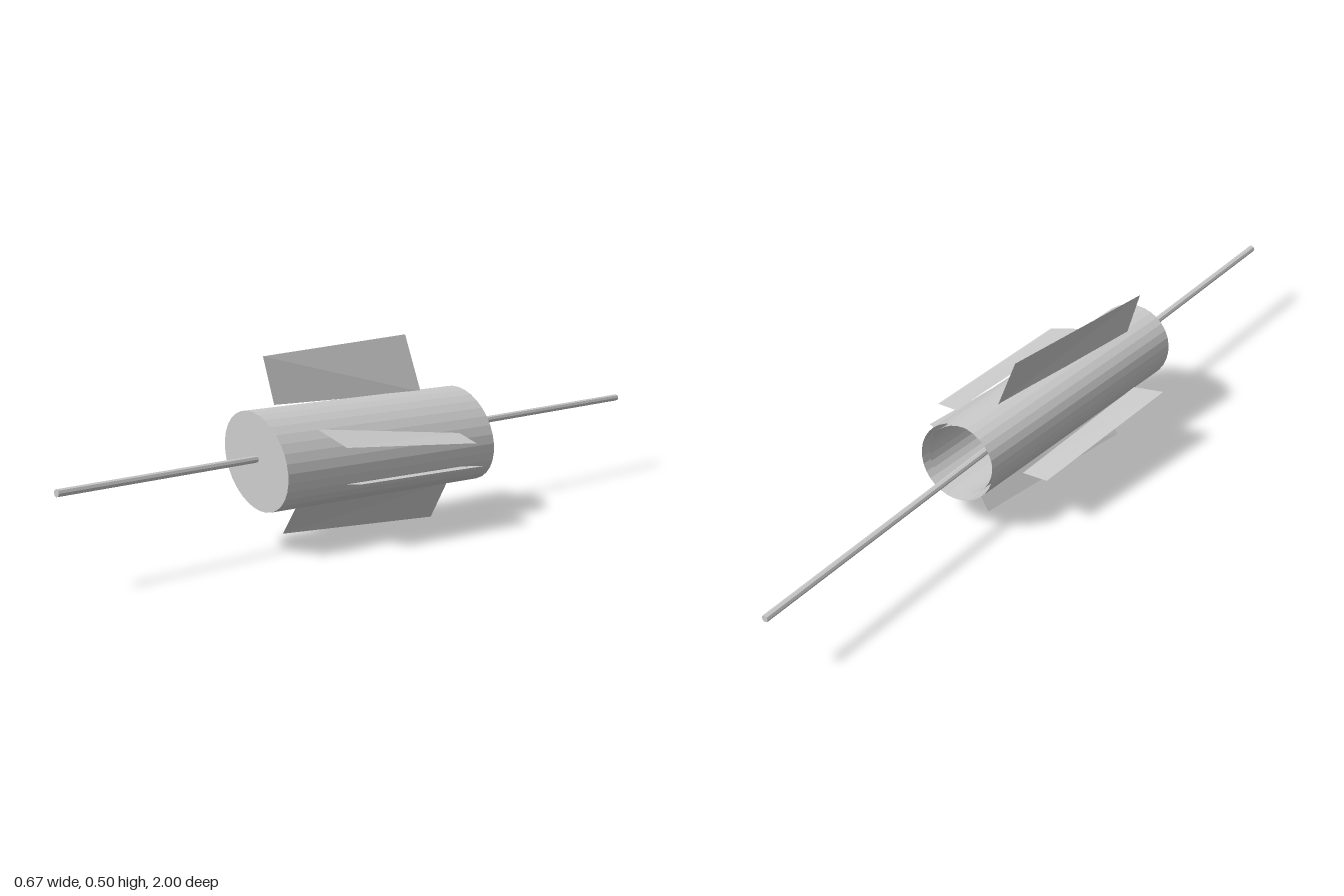
import * as THREE from 'three';

const material = new THREE.MeshStandardMaterial({ color: 0xcccccc, flatShading: true, side: THREE.DoubleSide });

// Group whose local z runs from the back point to the front point
function along(front, back, name) {
  const f = new THREE.Vector3(...front), b = new THREE.Vector3(...back);
  const group = new THREE.Group();
  group.name = name;
  group.position.copy(f).add(b).multiplyScalar(0.5);
  group.lookAt(f);
  group.userData.length = f.distanceTo(b);
  return group;
}

function part(geometry, name) {
  const mesh = new THREE.Mesh(geometry, material);
  mesh.name = name;
  return mesh;
}

// Thin four-cornered fin
function fin(name, corners) {
  const geometry = new THREE.BufferGeometry();
  geometry.setAttribute('position', new THREE.Float32BufferAttribute(corners.flat(), 3));
  geometry.setIndex([0, 1, 2, 0, 2, 3]);
  geometry.computeVertexNormals();
  return part(geometry, name);
}

export function createModel() {
  const model = new THREE.Group();
  model.name = 'finnedTube';

  // Slightly oval tube, closed at the front and open at the back
  const body = along([-0.134, 0.237, 0.408], [0.13, 0.2235, -0.273], 'body');
  const length = body.userData.length;
  const oval = (geometry) => geometry.scale(0.139, 0.108, 1).rotateZ(Math.PI * 0.75);
  const tube = (len) => new THREE.CylinderGeometry(1, 1, len, 32, 1, true).rotateX(Math.PI / 2);
  body.add(part(oval(tube(length)), 'outerTube'));
  body.add(part(oval(new THREE.CircleGeometry(1, 32).translate(0, 0, length / 2)), 'frontCap'));
  const inner = part(oval(tube(length - 0.03)), 'innerTube');
  inner.scale.set(0.88, 0.88, 1);
  body.add(inner);
  model.add(body);

  // Long thin rod through the tube
  const rod = along([-0.325, 0.25, 0.997], [0.325, 0.229, -0.997], 'rod');
  rod.add(part(new THREE.CylinderGeometry(0.0095, 0.0095, rod.userData.length, 8).rotateX(Math.PI / 2), 'rodShaft'));
  model.add(rod);

  // Five fins: outer front, outer back, base back, base front
  model.add(
    fin('topFin', [[-0.191, 0.481, 0.265], [0.002, 0.497, -0.18], [0.057, 0.346, -0.162], [-0.158, 0.358, 0.268]]),
    fin('bottomFin', [[-0.14, 0.021, 0.26], [0.085, 0.002, -0.17], [0.137, 0.104, -0.16], [-0.085, 0.113, 0.275]]),
    fin('upperLeftFin', [[0.083, 0.277, 0.335], [0.265, 0.238, -0.06], [0.2, 0.255, -0.095], [-0.012, 0.312, 0.308]]),
    fin('lowerLeftFin', [[0.11, 0.181, 0.3], [0.285, 0.177, -0.075], [0.2, 0.161, -0.115], [0.045, 0.169, 0.27]]),
    fin('rightFin', [[-0.283, 0.232, 0.2], [-0.098, 0.187, -0.225], [-0.024, 0.177, -0.2], [-0.194, 0.212, 0.225]]),
  );
  return model;
}
